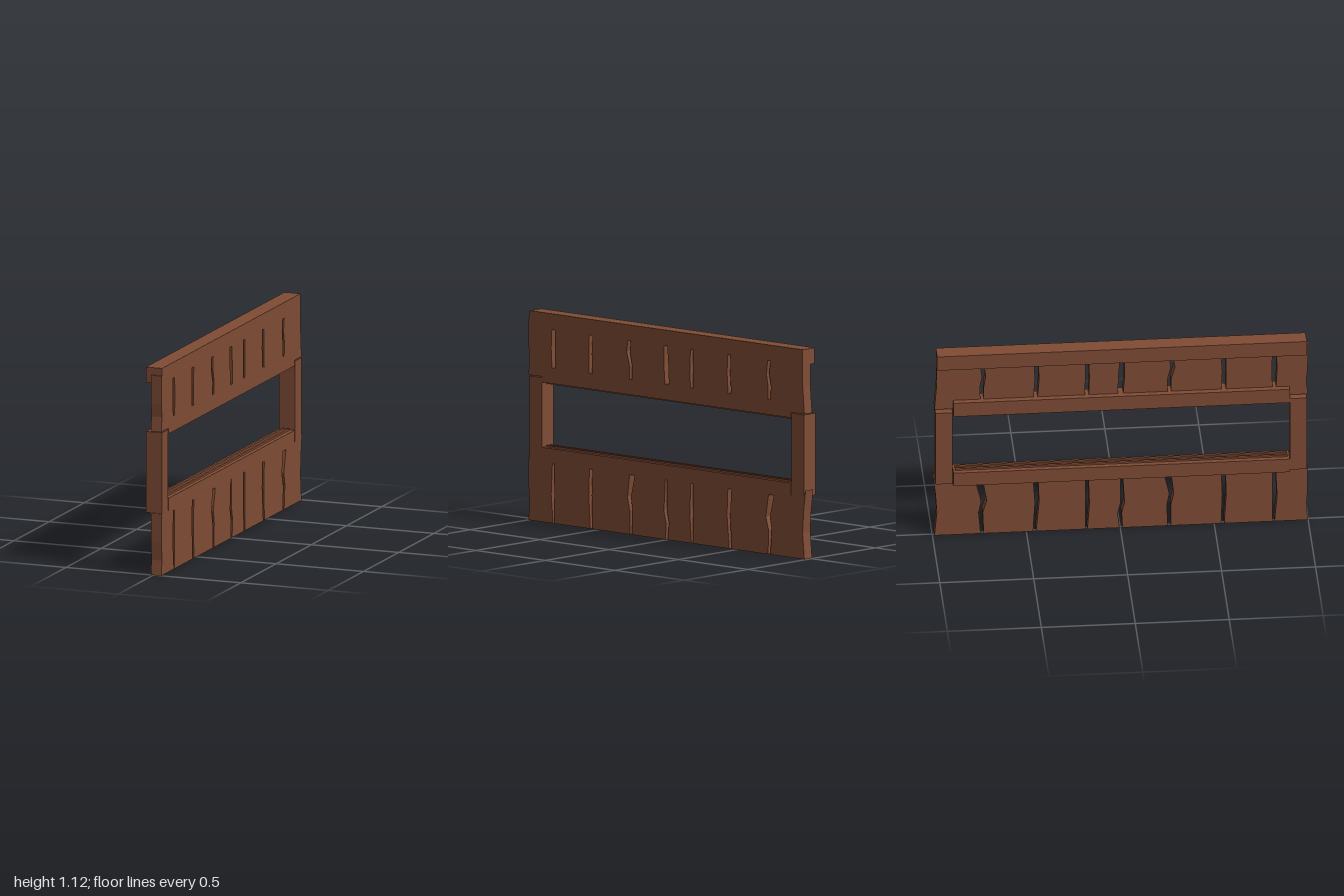
import * as THREE from 'three';

const BACK = -0.047, FRONT = 0.045, PLANK_BACK = -0.015;

// Cracks between planks, top to bottom: [height, near edge, far edge], running along -z.
// The first and last entries are the outer ends of the row.
const upperCracks = [
  [[1.085, -1, -1], [0.93, -0.997, -0.997], [0.86, -0.99, -0.99], [0.78, -1, -1]],
  [[1.085, -0.829, -0.81], [0.94, -0.835, -0.808], [0.78, -0.826, -0.81]],
  [[1.085, -0.559, -0.535], [0.94, -0.564, -0.543], [0.78, -0.561, -0.537]],
  [[1.085, -0.277, -0.256], [0.98, -0.291, -0.269], [0.905, -0.269, -0.251], [0.78, -0.273, -0.254]],
  [[1.085, -0.023, -0.002], [0.94, -0.023, 0.009], [0.78, -0.012, 0.015]],
  [[1.085, 0.17, 0.186], [0.94, 0.164, 0.186], [0.78, 0.17, 0.188]],
  [[1.085, 0.438, 0.459], [0.94, 0.432, 0.454], [0.78, 0.444, 0.465]],
  [[1.085, 0.73, 0.752], [0.97, 0.716, 0.735], [0.905, 0.727, 0.748], [0.78, 0.727, 0.741]],
  [[1.085, 0.977, 0.977], [0.93, 0.977, 0.977], [0.78, 0.989, 0.989]],
];
const lowerCracks = [
  [[0.335, -0.997, -0.997], [0.18, -0.997, -0.997], [0.08, -0.99, -0.99], [0, -1, -1]],
  [[0.335, -0.826, -0.81], [0.155, -0.835, -0.81], [0, -0.821, -0.81]],
  [[0.335, -0.559, -0.537], [0.18, -0.564, -0.543], [0, -0.553, -0.537]],
  [[0.335, -0.268, -0.23], [0.2, -0.285, -0.261], [0.13, -0.269, -0.248], [0, -0.269, -0.253]],
  [[0.335, -0.012, -0.002], [0.155, -0.023, -0.002], [0.09, -0.007, 0.014], [0, -0.012, 0.004]],
  [[0.335, 0.17, 0.186], [0.155, 0.164, 0.186], [0, 0.175, 0.186]],
  [[0.335, 0.438, 0.464], [0.18, 0.432, 0.454], [0, 0.448, 0.464]],
  [[0.335, 0.733, 0.773], [0.2, 0.711, 0.74], [0.13, 0.732, 0.754], [0, 0.727, 0.743]],
  [[0.335, 0.986, 0.986], [0.37, 0.998, 0.998], [0.26, 0.984, 0.984], [0.14, 0.976, 0.976], [0, 0.989, 0.989]],
];

export function createModel() {
  const model = new THREE.Group();
  model.name = 'woodenWindowWall';
  const wood = new THREE.MeshStandardMaterial({ name: 'brownWood', color: 0x7f4c35, flatShading: true });

  // Box given by its limits on each axis
  function beam(name, x0, x1, y0, y1, z0, z1) {
    const mesh = new THREE.Mesh(new THREE.BoxGeometry(x1 - x0, y1 - y0, z1 - z0), wood);
    mesh.position.set((x0 + x1) / 2, (y0 + y1) / 2, (z0 + z1) / 2);
    mesh.name = name;
    model.add(mesh);
  }

  // One uneven board between each pair of neighbouring cracks
  function plankRow(name, cracks) {
    const row = new THREE.Group();
    row.name = name;
    for (let i = 0; i + 1 < cracks.length; i++) {
      const left = cracks[i].map(([y, , far]) => new THREE.Vector2(far, y));
      const right = cracks[i + 1].map(([y, near]) => new THREE.Vector2(near, y));
      const shape = new THREE.Shape([...left, ...right.reverse()]);
      const geometry = new THREE.ExtrudeGeometry(shape, { depth: FRONT - PLANK_BACK, bevelEnabled: false });
      geometry.rotateY(Math.PI / 2).translate(PLANK_BACK, 0, 0);
      const plank = new THREE.Mesh(geometry, wood);
      plank.name = 'plank' + (i + 1);
      row.add(plank);
    }
    model.add(row);
  }

  plankRow('upperPlanks', upperCracks);
  plankRow('lowerPlanks', lowerCracks);

  // Horizontal rails
  beam('topRail', BACK, FRONT, 1.04, 1.125, -0.977, 0.99);
  beam('windowHeadRail', BACK, FRONT, 0.75, 0.833, -0.89, 0.9);
  beam('windowSillRail', BACK, FRONT, 0.32, 0.4, -0.89, 0.9);

  // Side posts of the window
  beam('rearPost', BACK, FRONT, 0.335, 0.775, -0.986, -0.895);
  beam('frontPost', BACK, FRONT, 0.335, 0.775, 0.902, 0.99);

  // Thin guide strips above and below the opening
  for (const x of [-0.02, 0.008]) {
    beam('headStrip', x, x + 0.013, 0.74, 0.755, -0.88, 0.89);
    beam('sillStrip', x, x + 0.013, 0.395, 0.41, -0.88, 0.89);
  }
  return model;
}
